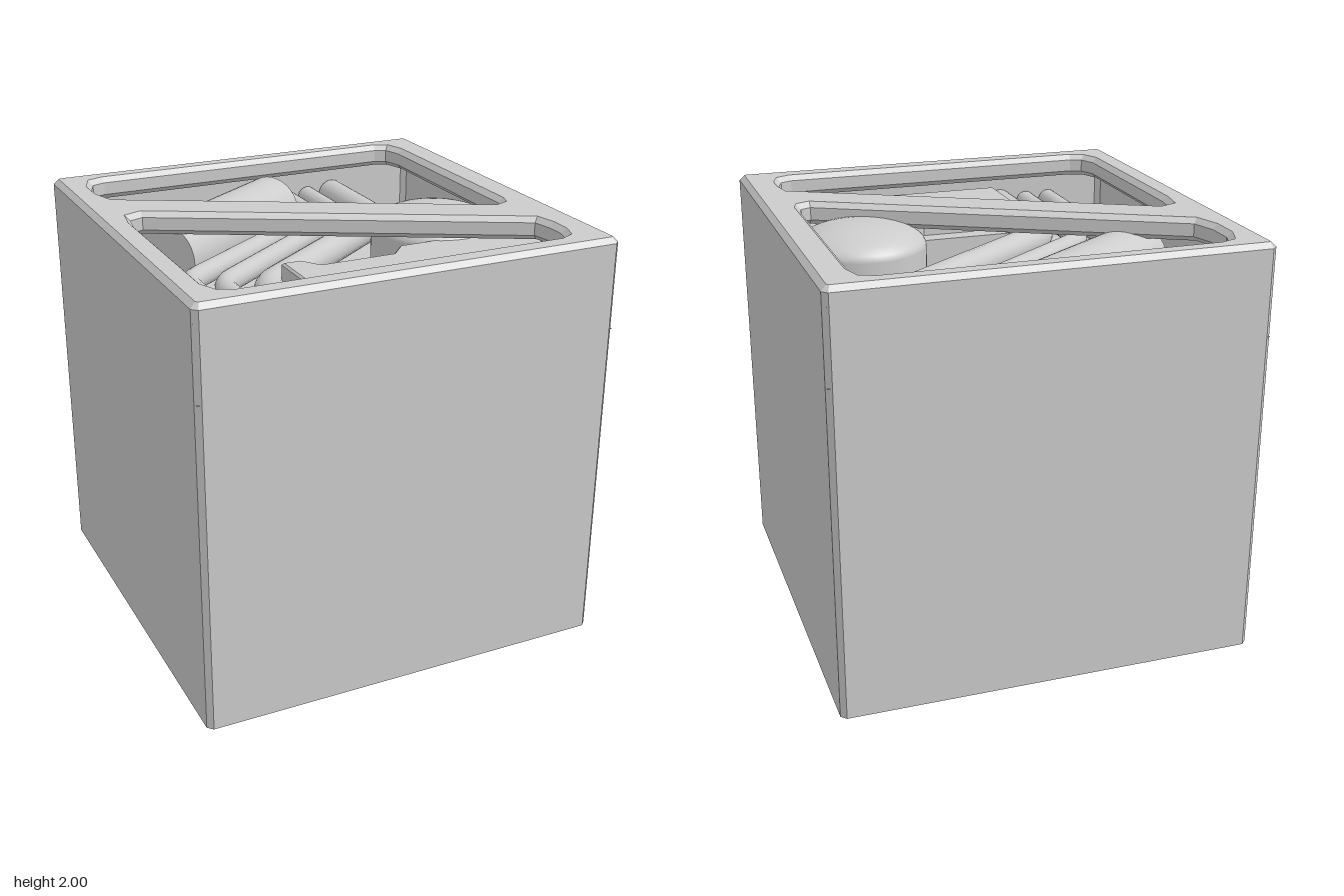
import * as THREE from 'three';

const material = new THREE.MeshStandardMaterial({ color: 0xcccccc, side: THREE.DoubleSide });
const FLOOR = 1.57;
const EDGE = 0.025;

function add(parent, name, geometry, x = 0, y = 0, z = 0) {
  const mesh = new THREE.Mesh(geometry, material);
  mesh.name = name;
  mesh.position.set(x, y, z);
  parent.add(mesh);
  return mesh;
}

const points = (list) => list.map(([x, z]) => new THREE.Vector2(x, z));

// Extrudes a plan outline (x, z) downwards from height top, with a bevel
function slab(outline, holes, top, height, bevel) {
  const shape = new THREE.Shape(points(outline));
  shape.holes = holes.map((h) => new THREE.Path(points(h)));
  const geometry = new THREE.ExtrudeGeometry(shape, {
    depth: height - 2 * bevel, bevelEnabled: true, bevelSegments: 1,
    bevelSize: bevel, bevelThickness: bevel,
  });
  return geometry.rotateX(Math.PI / 2).translate(0, top - bevel, 0);
}

// Pipe that runs straight, crosses diagonally, then runs straight again
function pipe(parent, name, radius, x0, z0, x1, z1, bend) {
  const y = 1.74;
  const start = new THREE.Vector3(x0, y, 0.99);
  const a = new THREE.Vector3(x0, y, z0);
  const b = new THREE.Vector3(x1, y, z1);
  const end = new THREE.Vector3(x1, y, -0.99);
  const toward = (p, q) => p.clone().add(q.clone().sub(p).setLength(bend));
  const path = new THREE.CurvePath();
  path.add(new THREE.LineCurve3(start, toward(a, start)));
  path.add(new THREE.QuadraticBezierCurve3(toward(a, start), a, toward(a, b)));
  path.add(new THREE.LineCurve3(toward(a, b), toward(b, a)));
  path.add(new THREE.QuadraticBezierCurve3(toward(b, a), b, toward(b, end)));
  path.add(new THREE.LineCurve3(toward(b, end), end));
  add(parent, name, new THREE.TubeGeometry(path, 80, radius, 18));
}

export function createModel() {
  const model = new THREE.Group();
  model.name = 'pipeBlock';

  // Thin outer walls with chamfered upright edges, open underneath
  const wallHeight = 2 - EDGE;
  for (let i = 0; i < 4; i++) {
    const side = new THREE.Group();
    side.name = 'side' + (i + 1);
    side.rotation.y = i * Math.PI / 2;
    add(side, 'wall', new THREE.PlaneGeometry(2 - 2 * EDGE, wallHeight), 0, wallHeight / 2, 1);
    const chamfer = add(side, 'cornerChamfer', new THREE.PlaneGeometry(EDGE * Math.SQRT2, wallHeight),
      1 - EDGE / 2, wallHeight / 2, 1 - EDGE / 2);
    chamfer.rotation.y = Math.PI / 4;
    model.add(side);
  }

  // Top frame with two cut-outs divided by a diagonal strut
  const a = 0.975, b = 0.965;
  const backHole = [[-0.85, -0.885], [-0.77, -0.915], [0.76, -0.915], [0.83, -0.885], [0.86, -0.78],
    [0.86, 0.25], [0.84, 0.31], [0.77, 0.34], [-0.85, -0.51], [-0.89, -0.64], [-0.89, -0.78]];
  const frontHole = [[-0.87, -0.24], [-0.78, -0.275], [0.84, 0.575], [0.86, 0.68], [0.86, 0.78],
    [0.83, 0.865], [0.76, 0.9], [-0.78, 0.9], [-0.85, 0.87], [-0.89, 0.78], [-0.89, -0.12]];
  add(model, 'topFrame', slab(
    [[a, -b], [a, b], [b, a], [-b, a], [-a, b], [-a, -b], [-b, -a], [b, -a]],
    [backHole, frontHole], 2, 0.11, EDGE));

  // Recessed floor
  const floor = add(model, 'floor', new THREE.PlaneGeometry(1.99, 1.99), 0, FLOOR, 0);
  floor.rotation.x = -Math.PI / 2;

  // Three bent pipes
  pipe(model, 'outerPipe', 0.052, -0.69, 0.06, 0.265, -0.62, 0.11);
  pipe(model, 'middlePipe', 0.052, -0.56, 0.16, 0.395, -0.56, 0.11);
  pipe(model, 'widePipe', 0.073, -0.41, 0.29, 0.54, -0.42, 0.14);

  // Lying tank
  const from = new THREE.Vector3(-0.67, 1.757, -0.27);
  const to = new THREE.Vector3(0.105, 1.757, -0.81);
  const tank = add(model, 'lyingTank', new THREE.CylinderGeometry(0.167, 0.167, from.distanceTo(to), 40));
  tank.position.lerpVectors(from, to, 0.5);
  tank.quaternion.setFromUnitVectors(new THREE.Vector3(0, 1, 0), to.clone().sub(from).normalize());

  // Upright tank with a shallow dome
  const rim = 1.84;
  add(model, 'uprightTank', new THREE.CylinderGeometry(0.308, 0.308, rim - FLOOR, 48, 1, true),
    0.59, (rim + FLOOR) / 2, 0.07);
  const dome = add(model, 'tankDome',
    new THREE.SphereGeometry(0.308, 48, 12, 0, Math.PI * 2, 0, Math.PI / 2), 0.59, rim, 0.07);
  dome.scale.y = 0.37;

  // Flat housing with a notch in its back edge and a ledge below the notch
  add(model, 'housing', slab(
    [[-0.32, 0.33], [-0.24, 0.33], [-0.18, 0.42], [0.19, 0.42], [0.27, 0.33],
      [0.89, 0.33], [0.89, 0.845], [-0.32, 0.845]], [], 1.865, 1.865 - FLOOR, 0.01));
  add(model, 'housingLedge', new THREE.BoxGeometry(0.54, 0.19, 0.12), 0.01, FLOOR + 0.095, 0.382);

  return model;
}
